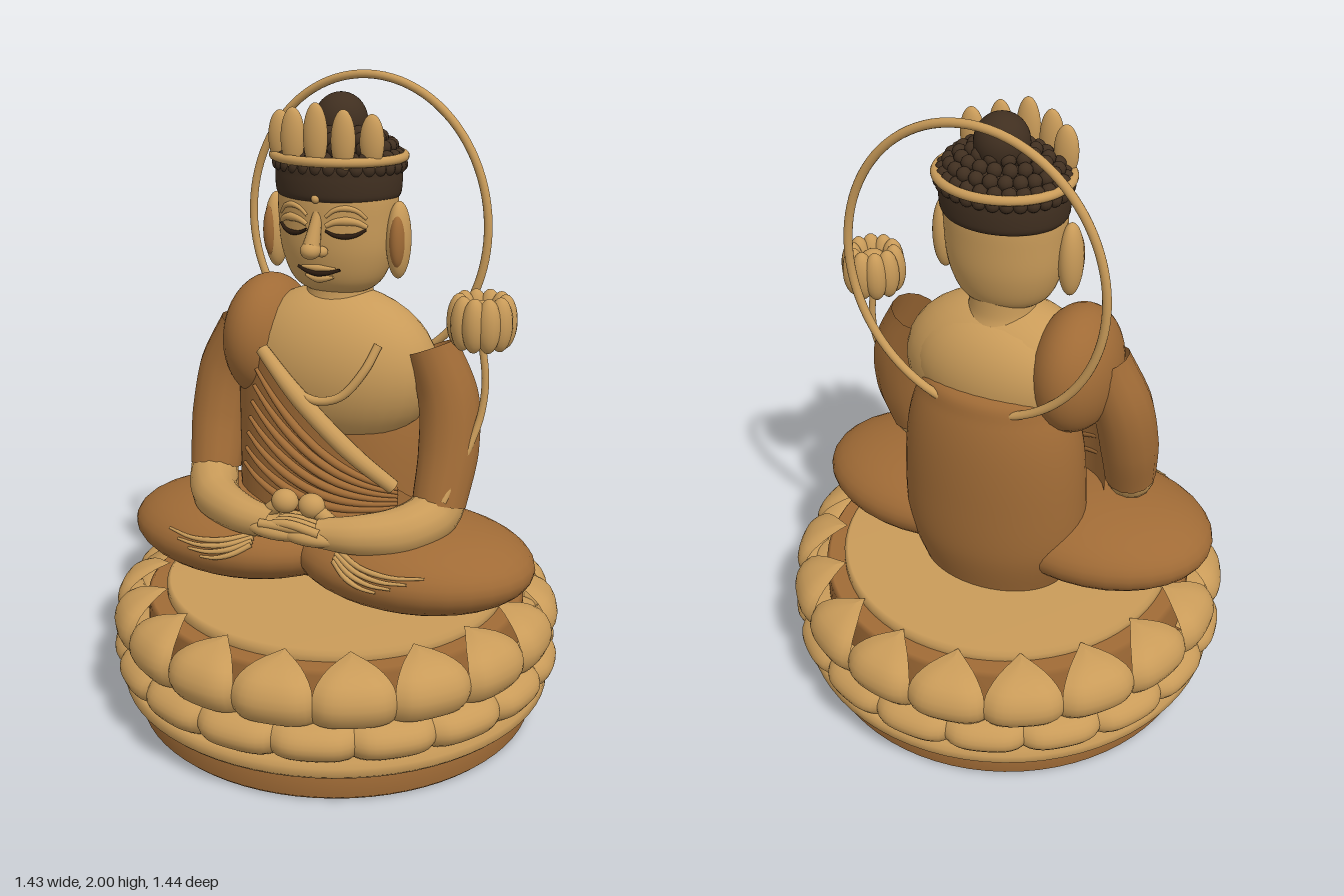
import * as THREE from 'three';
import { mergeGeometries } from 'three/addons/utils/BufferGeometryUtils.js';

export function createModel() {
  const root = new THREE.Group();
  root.name = 'seatedFigure';
  const paint = (name, color) => {
    const m = new THREE.MeshStandardMaterial({ color, side: THREE.DoubleSide });
    m.name = name;
    return m;
  };
  const gold = paint('gold', 0xc99b59);
  const robe = paint('robeBrown', 0xa06b36);
  const dark = paint('hairDark', 0x402f20);
  const ink = paint('featureDark', 0x2c1c10);

  const add = (name, geo, mat) => {
    const m = new THREE.Mesh(geo, mat);
    m.name = name;
    root.add(m);
    return m;
  };
  const ballGeo = (c, r, w = 32, h = 20) =>
    new THREE.SphereGeometry(1, w, h).scale(...r).translate(...c);
  const ball = (name, c, r, mat) => add(name, ballGeo(c, r), mat);
  const disc = (name, r, y0, y1, mat, bevel = 0.012) => add(name, new THREE.LatheGeometry(
    [[0, y0], [r - bevel, y0], [r, y0 + bevel], [r, y1 - bevel], [r - bevel, y1], [0, y1]]
      .flatMap(([x, y]) => [new THREE.Vector2(x, y)]), 72), mat);
  // Tube along points whose radius runs smoothly through the given list
  const tubeGeo = (pts, radii, closed = false, n = 32, sides = 14) => {
    const curve = new THREE.CatmullRomCurve3(pts.map(p => new THREE.Vector3(...p)), closed);
    const g = new THREE.TubeGeometry(curve, n, 1, sides, closed);
    const pos = g.attributes.position, v = new THREE.Vector3();
    for (let i = 0; i <= n; i++) {
      const c = curve.getPointAt(i / n);
      const f = (i / n) * (radii.length - 1), k = Math.min(Math.floor(f), radii.length - 2);
      const r = radii.length === 1 ? radii[0] : THREE.MathUtils.lerp(radii[k], radii[k + 1], f - k);
      for (let j = 0; j <= sides; j++) {
        const id = i * (sides + 1) + j;
        v.fromBufferAttribute(pos, id).sub(c).multiplyScalar(r).add(c);
        pos.setXYZ(id, v.x, v.y, v.z);
      }
    }
    return g;
  };
  const tube = (name, pts, radii, mat, closed, n) => add(name, tubeGeo(pts, radii, closed, n), mat);
  // Smooth oval body turned from a profile of [radius, y]
  const turned = (name, prof, depth, z, mat) => add(name, new THREE.LatheGeometry(
    new THREE.SplineCurve(prof.map(p => new THREE.Vector2(...p))).getPoints(40), 48)
    .scale(1, 1, depth).translate(0, 0, z), mat);
  // Surface grid from a rule f(u, v) -> [x, y, z]
  const sheet = (f, nu, nv) => {
    const g = new THREE.PlaneGeometry(1, 1, nu, nv), p = g.attributes.position;
    for (let i = 0; i < p.count; i++) p.setXYZ(i, ...f(p.getX(i) + 0.5, p.getY(i) + 0.5));
    g.computeVertexNormals();
    return g;
  };

  // Pedestal
  disc('plinth', 0.64, 0, 0.1, robe);
  disc('plinthBand', 0.69, 0.1, 0.15, gold);
  disc('lotusCore', 0.605, 0.14, 0.4, robe);
  disc('seatTop', 0.545, 0.38, 0.432, gold);

  // Two tiers of lotus petals
  const COUNT = 18;
  const petalRing = (name, radius, height, width, offset) => {
    const line = new THREE.SplineCurve(radius.map((r, i) => new THREE.Vector2(r, height[i])));
    const wide = new THREE.SplineCurve(width.map((w, i) => new THREE.Vector2(i, w)));
    const parts = [];
    for (let k = 0; k < COUNT; k++) {
      const mid = (k + offset) * Math.PI * 2 / COUNT;
      parts.push(sheet((u, v) => {
        const s = u * 2 - 1, p = line.getPoint(v);
        const a = mid + s * Math.max(0, wide.getPoint(v).y) * Math.PI / COUNT;
        const r = p.x - 0.03 * s ** 4;
        return [r * Math.sin(a), p.y, r * Math.cos(a)];
      }, 12, 14));
    }
    add(name, mergeGeometries(parts), gold);
  };
  petalRing('lowerPetals', [0.6, 0.68, 0.717, 0.71, 0.67, 0.6],
    [0.15, 0.155, 0.195, 0.235, 0.265, 0.275], [1, 1.02, 1.03, 1.03, 1, 0.9], 0);
  petalRing('upperPetals', [0.62, 0.685, 0.716, 0.695, 0.64, 0.575],
    [0.25, 0.265, 0.325, 0.385, 0.42, 0.434], [0.9, 1.02, 1.03, 0.95, 0.6, 0], 0.5);

  // Body
  turned('robeBack', [[0.24, 0.42], [0.295, 0.58], [0.3, 0.78], [0.285, 0.95], [0.25, 1.07], [0.2, 1.14], [0, 1.16]],
    0.7, -0.09, robe);
  ball('chest', [0, 1.13, -0.02], [0.325, 0.25, 0.195], gold);
  ball('upperBack', [0, 1.15, -0.07], [0.27, 0.2, 0.155], gold);
  ball('robedShoulder', [-0.24, 1.19, -0.02], [0.132, 0.2, 0.19], robe);
  turned('neck', [[0.13, 1.3], [0.105, 1.35], [0.1, 1.44]], 0.95, -0.03, gold);

  // Robe draped diagonally over the chest, with folds
  const front = x => -0.02 + 0.205 * Math.sqrt(Math.max(0, 1 - (x / 0.335) ** 2));
  const strapY = x => 1.2 - (x + 0.17) * 0.93;
  add('robeFront', sheet((u, v) => {
    const x = -0.32 + 0.62 * u, top = Math.min(1.2, strapY(x));
    return [x, 0.62 + (top - 0.62) * v, front(x)];
  }, 30, 8), robe);
  for (let i = 0; i < 7; i++) {
    const pts = [];
    for (let k = 0; k <= 8; k++) {
      const t = k / 8, x = -0.27 + i * 0.012 + t * (0.53 - i * 0.012);
      const y = THREE.MathUtils.lerp(0.8 + i * 0.055, 0.73 + i * 0.012, t) - 0.05 * Math.sin(Math.PI * t);
      pts.push([x, y, front(x) + 0.004]);
    }
    tube('robeFold', pts, [0.006, 0.013, 0.013, 0.006], robe);
  }
  tube('sash', [-0.17, -0.06, 0.05, 0.15, 0.25].map(x => [x, strapY(x), front(x) + 0.006]),
    [0.02, 0.028, 0.028, 0.022], gold);
  tube('necklace', [[0.195, 1.245, 0.12], [0.165, 1.17, 0.155], [0.1, 1.09, 0.178], [0.03, 1.07, 0.188], [-0.05, 1.09, 0.19]],
    [0.013], gold);

  // Crossed legs, arms and hands
  for (const s of [1, -1]) {
    ball('foldedLeg', [s * 0.29, 0.57, 0.06], [0.385, 0.14, 0.29], robe);
    for (let i = 0; i < 4; i++) {
      const pts = [0, 0.33, 0.67, 1].map(t => {
        const x = 0.14 + t * (0.29 - i * 0.045), y = 0.645 - i * 0.008 - t * (0.022 + i * 0.01) - 0.015 * Math.sin(t * Math.PI);
        return [s * x, y, 0.062 + 0.29 * Math.sqrt(1 - ((x - 0.29) / 0.385) ** 2 - ((y - 0.57) / 0.14) ** 2)];
      });
      tube('toe', pts, [0.009, 0.008, 0.004], gold, false, 12);
    }
    tube('sleeve', [[s * 0.315, 1.225, 0], [s * 0.375, 1.08, 0.01], [s * 0.392, 0.93, 0.04], [s * 0.385, 0.77, 0.09]],
      [0.08, 0.093, 0.092, 0.082], robe);
    tube('forearm', [[s * 0.39, 0.83, 0.07], [s * 0.385, 0.755, 0.1], [s * 0.32, 0.715, 0.2], [s * 0.2, 0.7, 0.265], [s * 0.08, 0.69, 0.28]],
      [0.072, 0.078, 0.072, 0.06, 0.046], gold);
    ball('hand', [s * 0.055, 0.685, 0.28], [0.115, 0.035, 0.065], gold);
    for (let i = 0; i < 4; i++)
      tube('finger', [[s * 0.1, 0.705, 0.245 + i * 0.026], [0, 0.714 + s * 0.006, 0.25 + i * 0.025], [s * -0.1, 0.7, 0.245 + i * 0.024]],
        [0.014, 0.014, 0.01], gold, false, 12);
    ball('thumb', [s * 0.045, 0.765, 0.262], [0.042, 0.038, 0.036], gold);
    tube('thumbBase', [[s * 0.12, 0.7, 0.25], [s * 0.08, 0.74, 0.26], [s * 0.045, 0.76, 0.262]], [0.025, 0.022], gold, false, 10);
  }

  // Head
  turned('head', [[0, 1.358], [0.08, 1.366], [0.14, 1.405], [0.175, 1.49], [0.185, 1.59], [0.183, 1.68], [0.15, 1.74], [0, 1.76]],
    0.8, -0.015, gold);
  const faceZ = (x, r = 0.184) => -0.015 + 0.8 * Math.sqrt(r * r - x * x);
  for (const s of [1, -1]) {
    ball('ear', [s * 0.202, 1.535, -0.005], [0.036, 0.115, 0.046], gold);
    ball('earHollow', [s * 0.208, 1.535, 0.018], [0.024, 0.08, 0.031], robe);
    const arc = (y, h, r) => [0.03, 0.055, 0.085, 0.115, 0.138].map((x, i) =>
      [s * x, y + h * [0, 0.75, 1, 0.7, -0.2][i], faceZ(x) + r]);
    tube('eyebrow', arc(1.612, 0.026, 0.002), [0.005, 0.009, 0.005], gold, false, 16);
    tube('eyelid', arc(1.585, 0.016, 0), [0.007, 0.013, 0.007], gold, false, 16);
    tube('closedEye', arc(1.572, -0.016, 0.004), [0.004, 0.008, 0.004], ink, false, 16);
    ball('nostril', [s * 0.024, 1.512, 0.145], [0.018, 0.016, 0.02], gold);
  }
  tube('noseBridge', [[0, 1.62, 0.122], [0, 1.57, 0.145], [0, 1.52, 0.168]], [0.014, 0.02, 0.028], gold, false, 12);
  ball('noseTip', [0, 1.518, 0.17], [0.03, 0.026, 0.032], gold);
  ball('foreheadDot', [0, 1.662, 0.136], [0.013, 0.013, 0.013], gold);
  const mouth = (y, lift, r, half) => [-1, -0.5, 0, 0.5, 1].map(k =>
    [k * half, y + lift * k * k, faceZ(k * half, r)]);
  tube('upperLip', mouth(1.457, 0, 0.172, 0.055), [0.004, 0.011, 0.004], gold, false, 16);
  tube('mouthLine', mouth(1.442, 0.014, 0.176, 0.068), [0.004, 0.009, 0.004], ink, false, 16);
  tube('lowerLip', mouth(1.425, 0.006, 0.163, 0.045), [0.004, 0.014, 0.004], gold, false, 16);

  // Hair with curls and topknot
  turned('hairBand', [[0.183, 1.652], [0.192, 1.67], [0.194, 1.72], [0.185, 1.755], [0.12, 1.8], [0, 1.83]], 0.84, -0.02, dark);
  const curls = [];
  [[0.05, 30], [0.3, 27], [0.56, 23], [0.82, 18], [1.06, 12]].forEach(([phi, n], row) => {
    for (let k = 0; k < n; k++) {
      const a = (k + (row % 2) / 2) * Math.PI * 2 / n, c = Math.cos(phi);
      curls.push(ballGeo([0.186 * c * Math.sin(a), 1.74 + 0.115 * Math.sin(phi), -0.025 + 0.152 * c * Math.cos(a)],
        [0.022, 0.022, 0.022], 12, 8));
    }
  });
  add('hairCurls', mergeGeometries(curls), dark);
  ball('topknot', [0, 1.868, -0.035], [0.08, 0.083, 0.08], dark);

  // Crown
  const oval = (rx, ry, f) => Array.from({ length: 24 }, (_, i) =>
    f(rx * Math.sin(i * Math.PI / 12), ry * Math.cos(i * Math.PI / 12)));
  tube('crownBand', oval(0.197, 0.178, (x, z) => [x, 1.77, z - 0.022]), [0.014], gold, true, 64);
  for (const [x, y, z, h] of [[0, 1.84, 0.135, 0.095], [0.08, 1.83, 0.12, 0.088], [0.147, 1.825, 0.07, 0.078]])
    for (const s of x ? [1, -1] : [1]) ball('crownPetal', [s * x, y, z], [0.037, h, 0.026], gold);

  // Halo ring
  tube('halo', oval(0.402, 0.452, (x, y) => [x, 1.535 + y, -0.222]), [0.013], gold, true, 96);

  // Lotus bud on a stem
  tube('budStem', [[0.482, 1.27, 0.03], [0.497, 1.15, 0.03], [0.488, 1.04, 0.04], [0.46, 0.93, 0.08], [0.42, 0.8, 0.15]], [0.011], gold);
  const bud = [];
  for (let i = 0; i < 10; i++) {
    const a = i * Math.PI / 5;
    bud.push(ballGeo([0.48 + 0.066 * Math.sin(a), 1.33, 0.03 + 0.066 * Math.cos(a)], [0.036, 0.08, 0.036], 16, 12));
  }
  add('lotusBud', mergeGeometries(bud), gold);
  ball('budCentre', [0.48, 1.325, 0.03], [0.05, 0.065, 0.05], gold);

  return root;
}
